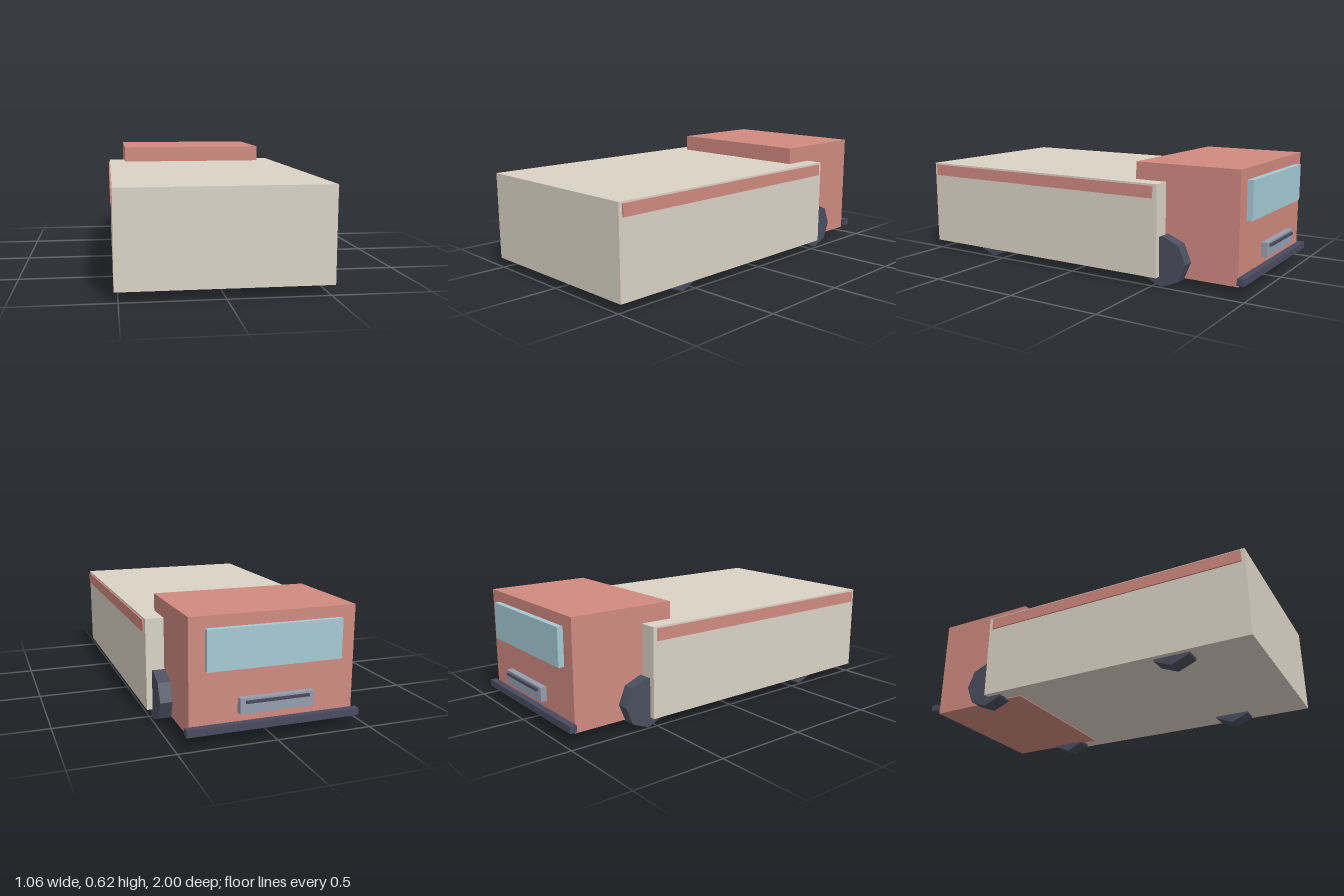
import * as THREE from 'three';

const paint = (color) => new THREE.MeshStandardMaterial({ color, flatShading: true });

export function createModel() {
  const truck = new THREE.Group();
  truck.name = 'boxTruck';
  const red = paint(0xd08a80);
  const cream = paint(0xdbd3c5);
  const glass = paint(0xa6cad4);
  const steel = paint(0x959eae);
  const dark = paint(0x4a4a60);
  const rubber = paint(0x4a4e5e);

  // Box given by its extents along each axis
  function box(name, material, [x0, x1], [y0, y1], [z0, z1]) {
    const mesh = new THREE.Mesh(new THREE.BoxGeometry(x1 - x0, y1 - y0, z1 - z0), material);
    mesh.position.set((x0 + x1) / 2, (y0 + y1) / 2, (z0 + z1) / 2);
    mesh.name = name;
    truck.add(mesh);
  }

  // Cargo body and cab, the cab reaching into the body
  box('cargoBody', cream, [-0.52, 0.52], [0.05, 0.527], [-0.535, 1]);
  box('cab', red, [-0.425, 0.425], [0.045, 0.618], [-0.935, -0.36]);

  // Fittings on the cab face
  box('windshield', glass, [-0.345, 0.345], [0.36, 0.56], [-0.966, -0.93]);
  box('grille', steel, [-0.19, 0.19], [0.148, 0.223], [-0.988, -0.955]);
  box('grilleBar', dark, [-0.163, 0.163], [0.2, 0.213], [-1, -0.98]);
  box('bumper', dark, [-0.448, 0.448], [0.06, 0.096], [-0.975, -0.938]);

  // Side stripes and eight-sided wheels, mirrored
  const wheelGeometry = new THREE.CylinderGeometry(0.132, 0.132, 0.09, 8);
  wheelGeometry.rotateZ(Math.PI / 2);
  for (const [side, s] of [['left', 1], ['right', -1]]) {
    box(`${side}Stripe`, red, s > 0 ? [0.51, 0.528] : [-0.528, -0.51], [0.455, 0.518], [-0.51, 0.98]);
    for (const [end, z] of [['cab', -0.55], ['cargo', 0.578]]) {
      const wheel = new THREE.Mesh(wheelGeometry, rubber);
      wheel.name = `${side}${end === 'cab' ? 'Cab' : 'Cargo'}Wheel`;
      wheel.position.set(s * 0.445, 0.132, z);
      truck.add(wheel);
    }
  }
  return truck;
}
